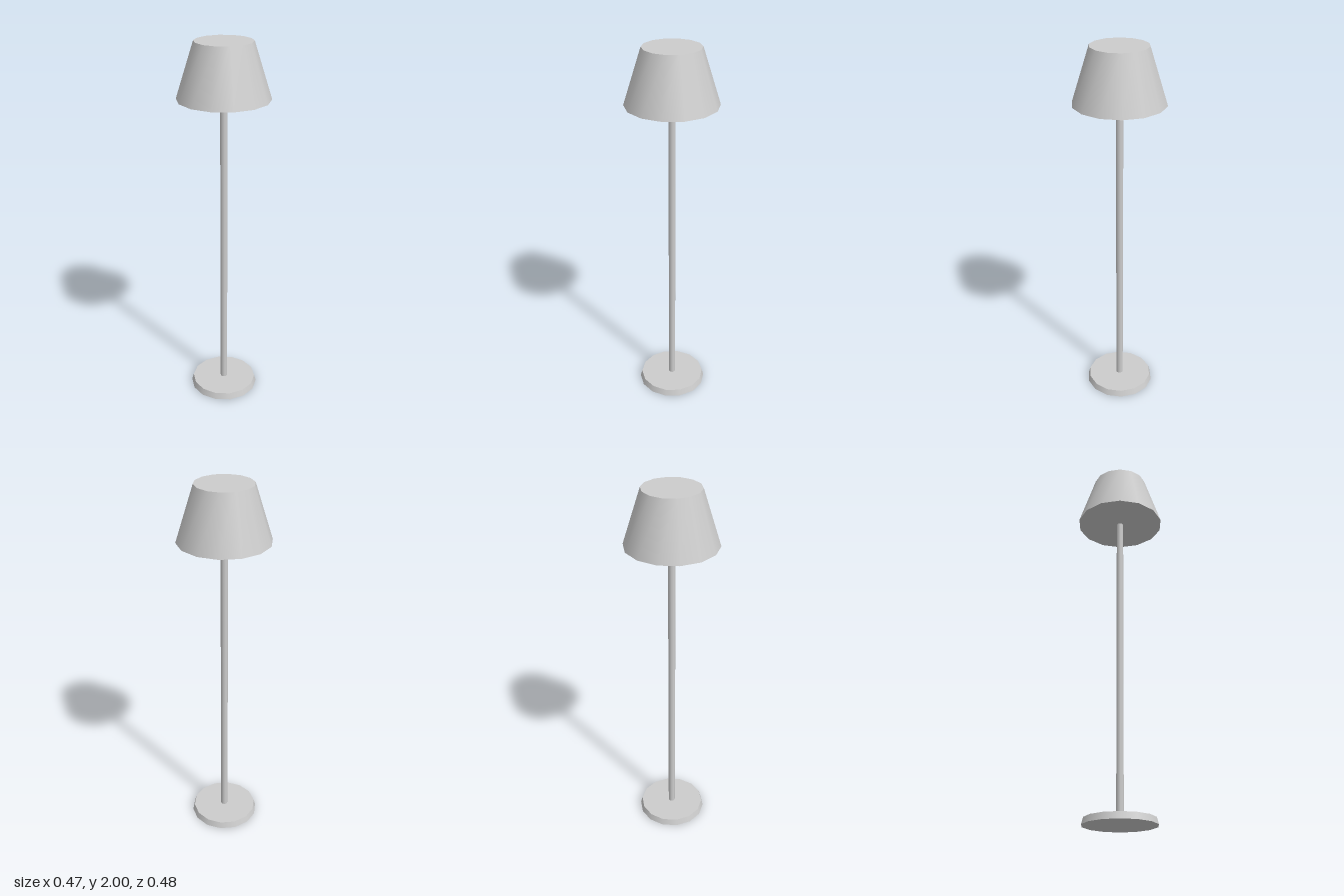
import * as THREE from 'three';

export function createModel() {
  const lamp = new THREE.Group();
  lamp.name = 'floorLamp';
  const grey = new THREE.MeshStandardMaterial({ color: 0xcccccc });
  grey.name = 'light grey';

  // Capped, tapered round part standing between two heights
  function addRound(name, topRadius, bottomRadius, y0, y1, sides) {
    const geometry = new THREE.CylinderGeometry(topRadius, bottomRadius, y1 - y0, sides);
    const mesh = new THREE.Mesh(geometry, grey);
    mesh.name = name;
    mesh.position.y = (y0 + y1) / 2;
    lamp.add(mesh);
  }

  addRound('base', 0.18, 0.19, 0, 0.035, 14);
  addRound('pole', 0.019, 0.019, 0.03, 1.72, 10);
  addRound('shade', 0.148, 0.239, 1.715, 2, 14);

  return lamp;
}
